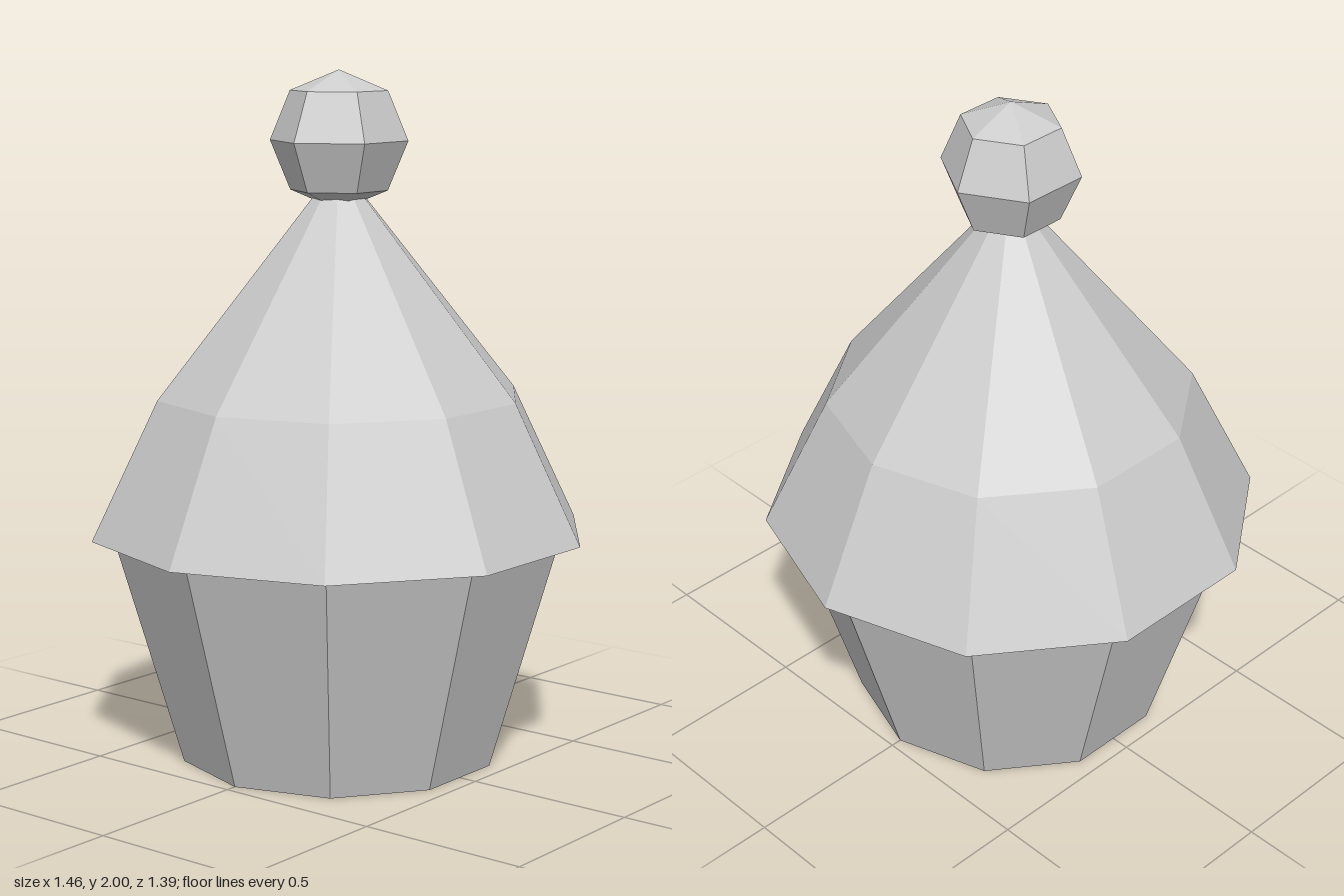
import * as THREE from 'three';

export function createModel() {
  const group = new THREE.Group();
  const stone = new THREE.MeshStandardMaterial({ color: 0xcccccc, flatShading: true });
  stone.name = 'pale grey';

  // Ten-sided turned solid with corners on the x axis
  const turned = (name, profile) => {
    const points = profile.map(([r, y]) => new THREE.Vector2(r, y));
    const geometry = new THREE.LatheGeometry(points, 10, Math.PI / 2).toNonIndexed();
    geometry.computeVertexNormals();
    const mesh = new THREE.Mesh(geometry, stone);
    mesh.name = name;
    group.add(mesh);
  };

  // Tapered body, closed at both ends
  turned('body', [[0, 0], [0.468, 0], [0.665, 0.67], [0, 0.67]]);

  // Overhanging lid with two slopes and a flat underside
  turned('lid', [[0, 0.67], [0.73, 0.67], [0.535, 1.07], [0, 1.735]]);

  // Six-sided ball on top
  const knob = new THREE.Mesh(new THREE.SphereGeometry(0.2, 6, 4), stone);
  knob.name = 'knob';
  knob.position.y = 1.8;
  group.add(knob);

  return group;
}
